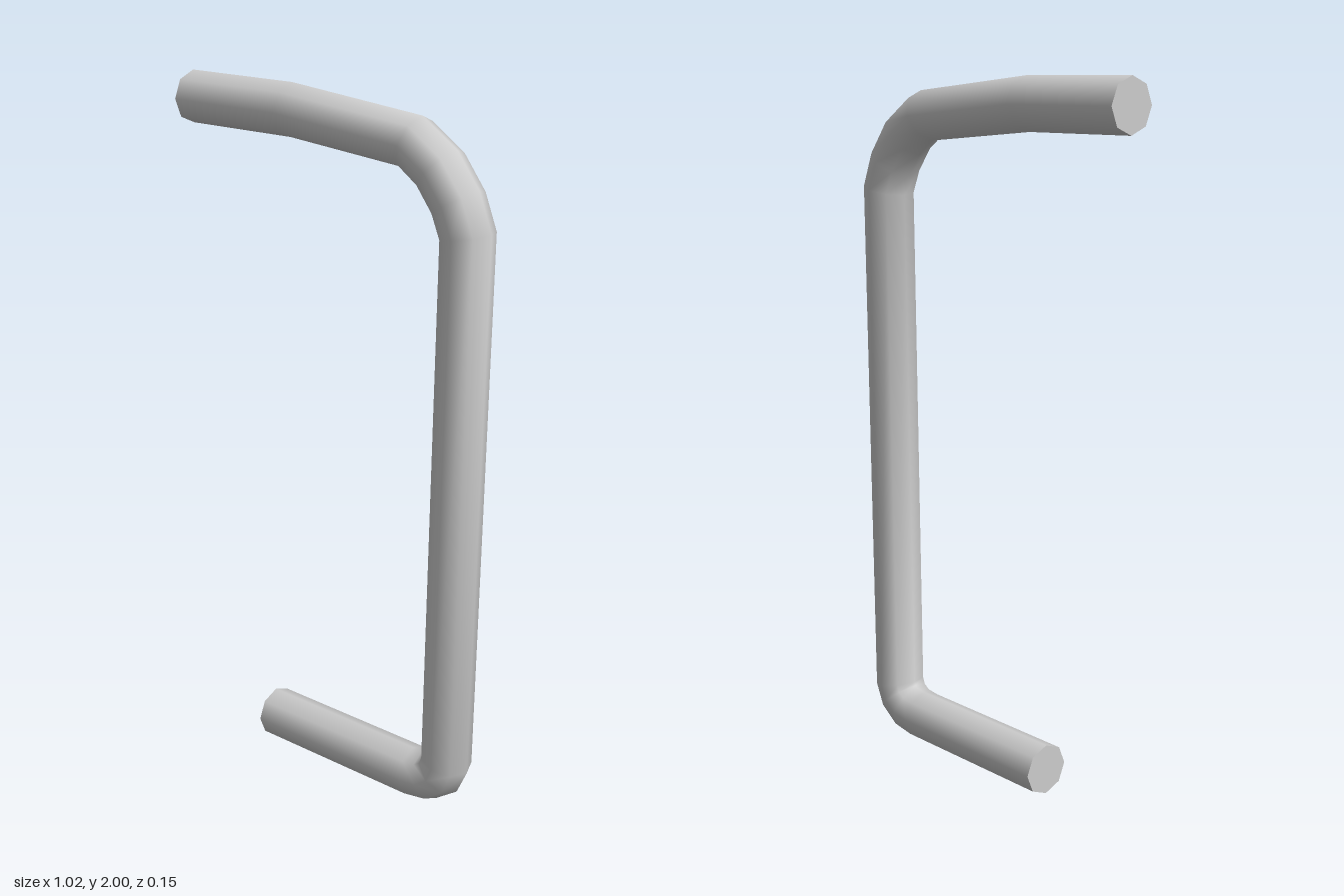
import * as THREE from 'three';

const RADIUS = 0.073;
const SIDES = 8;

// Centre line of the bent bar, from the upper end to the lower end
const PATH = [
  [-0.515, 1.927], [-0.15, 1.925], [0.263, 1.885], [0.347, 1.827],
  [0.405, 1.75], [0.437, 1.67], [0.416, 0.155], [0.398, 0.113],
  [0.358, 0.085], [0.303, 0.077], [-0.235, 0.077],
].map(([x, y]) => new THREE.Vector3(x, y, 0));

// Straight runs between the points, with one ring mitred at each bend
class BarCurve extends THREE.Curve {
  getPointAt(u, target = new THREE.Vector3()) {
    const f = u * (PATH.length - 1);
    const i = Math.min(Math.floor(f), PATH.length - 2);
    return target.lerpVectors(PATH[i], PATH[i + 1], f - i);
  }
  getPoint(t, target) {
    return this.getPointAt(t, target);
  }
  getTangentAt(u, target = new THREE.Vector3()) {
    const i = Math.round(u * (PATH.length - 1));
    const last = PATH.length - 1;
    if (i === 0) return target.set(1, 0, 0);
    if (i === last) return target.set(-1, 0, 0);
    const before = PATH[i].clone().sub(PATH[i - 1]).normalize();
    const after = PATH[i + 1].clone().sub(PATH[i]).normalize();
    return target.addVectors(before, after).normalize();
  }
}

export function createModel() {
  const group = new THREE.Group();
  group.name = 'pullHandle';
  const material = new THREE.MeshStandardMaterial({ color: 0xcccccc });

  // Bent bar
  const bar = new THREE.Mesh(
    new THREE.TubeGeometry(new BarCurve(), PATH.length - 1, RADIUS, SIDES, false), material);
  bar.name = 'bar';
  group.add(bar);

  // Flat end faces, both looking toward -x
  const ends = { upperEnd: PATH[0], lowerEnd: PATH[PATH.length - 1] };
  for (const [name, point] of Object.entries(ends)) {
    const cap = new THREE.Mesh(new THREE.CircleGeometry(RADIUS, SIDES), material);
    cap.name = name;
    cap.rotation.y = -Math.PI / 2;
    cap.position.copy(point);
    group.add(cap);
  }
  return group;
}
